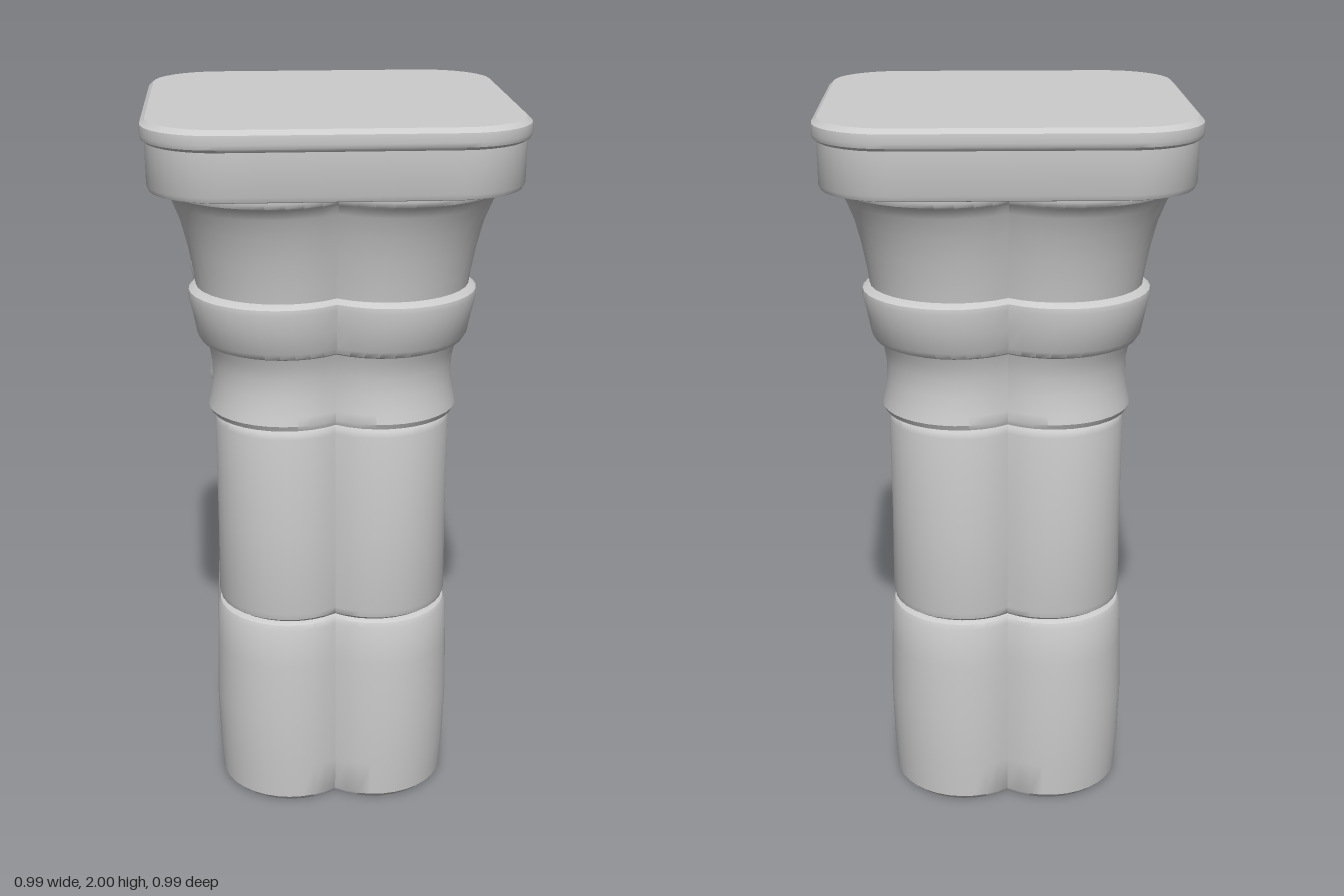
import * as THREE from 'three';
import { toCreasedNormals } from 'three/addons/utils/BufferGeometryUtils.js';

const material = new THREE.MeshStandardMaterial({ color: 0xcccccc });

// Outline of four corner arcs, scaled so its half width is 1.
function outline(offset, radius, halfSpan, steps) {
  const points = [];
  for (let corner = 0; corner < 4; corner++) {
    const middle = Math.PI / 4 + corner * Math.PI / 2;
    const cx = Math.sign(Math.cos(middle)) * offset;
    const cz = Math.sign(Math.sin(middle)) * offset;
    for (let i = 0; i <= steps; i++) {
      const a = middle + halfSpan * (2 * i / steps - 1);
      // neighbouring lobes share their crease point
      if (halfSpan > 1 && i === steps) continue;
      points.push([(cx + Math.cos(a) * radius) / (offset + radius), (cz + Math.sin(a) * radius) / (offset + radius)]);
    }
  }
  return points;
}

// Stacks scaled copies of an outline; profile rows are [half width, y].
function loft(name, section, profile, crease = 0.6) {
  const rings = [[0, profile[0][1]], ...profile, [0, profile.at(-1)[1]]];
  const n = section.length;
  const positions = [];
  const index = [];
  for (const [s, y] of rings) for (const [x, z] of section) positions.push(x * s, y, z * s);
  for (let i = 0; i < rings.length - 1; i++) {
    for (let j = 0; j < n; j++) {
      const a = i * n + j, b = i * n + (j + 1) % n;
      if (rings[i][0] > 0) index.push(a, a + n, b);
      if (rings[i + 1][0] > 0) index.push(b, a + n, b + n);
    }
  }
  const geometry = new THREE.BufferGeometry();
  geometry.setAttribute('position', new THREE.Float32BufferAttribute(positions, 3));
  geometry.setIndex(index);
  const mesh = new THREE.Mesh(toCreasedNormals(geometry, crease), material);
  mesh.name = name;
  return mesh;
}

export function createModel() {
  const group = new THREE.Group();
  group.name = 'column';

  // four-lobed shaft section, with creases on the x and z axes
  const offset = 0.125, radius = 0.205;
  const lobes = outline(offset, radius, Math.PI / 4 + Math.asin(offset / radius), 16);
  const slab = outline(0.305, 0.19, Math.PI / 4, 8);

  // shaft drums, separated by narrow grooves
  group.add(loft('lowerDrum', lobes, [
    [0.315, 0], [0.328, 0.015], [0.335, 0.12], [0.34, 0.28], [0.336, 0.45], [0.331, 0.565], [0.325, 0.58], [0.312, 0.588],
  ]));
  group.add(loft('upperDrum', lobes, [
    [0.312, 0.588], [0.323, 0.597], [0.327, 0.615], [0.325, 0.85], [0.326, 1.14], [0.323, 1.155], [0.314, 1.165],
  ]));

  // capital: neck, raised band and flare
  group.add(loft('neck', lobes, [
    [0.314, 1.165], [0.336, 1.17], [0.343, 1.185], [0.338, 1.21], [0.33, 1.26], [0.33, 1.31], [0.337, 1.35], [0.35, 1.385],
  ]));
  group.add(loft('band', lobes, [
    [0.345, 1.372], [0.358, 1.378], [0.368, 1.395], [0.378, 1.45], [0.39, 1.505], [0.388, 1.52], [0.37, 1.532],
  ]));
  group.add(loft('flare', lobes, [
    [0.368, 1.525], [0.374, 1.57], [0.387, 1.64], [0.404, 1.71], [0.425, 1.765], [0.437, 1.79], [0.447, 1.797], [0.452, 1.81], [0.45, 1.83],
  ]));

  // square slab with a projecting top edge
  group.add(loft('slab', slab, [
    [0.465, 1.818], [0.477, 1.822], [0.482, 1.835], [0.483, 1.945], [0.492, 1.953], [0.495, 1.965], [0.493, 1.988], [0.48, 2],
  ]));
  return group;
}
